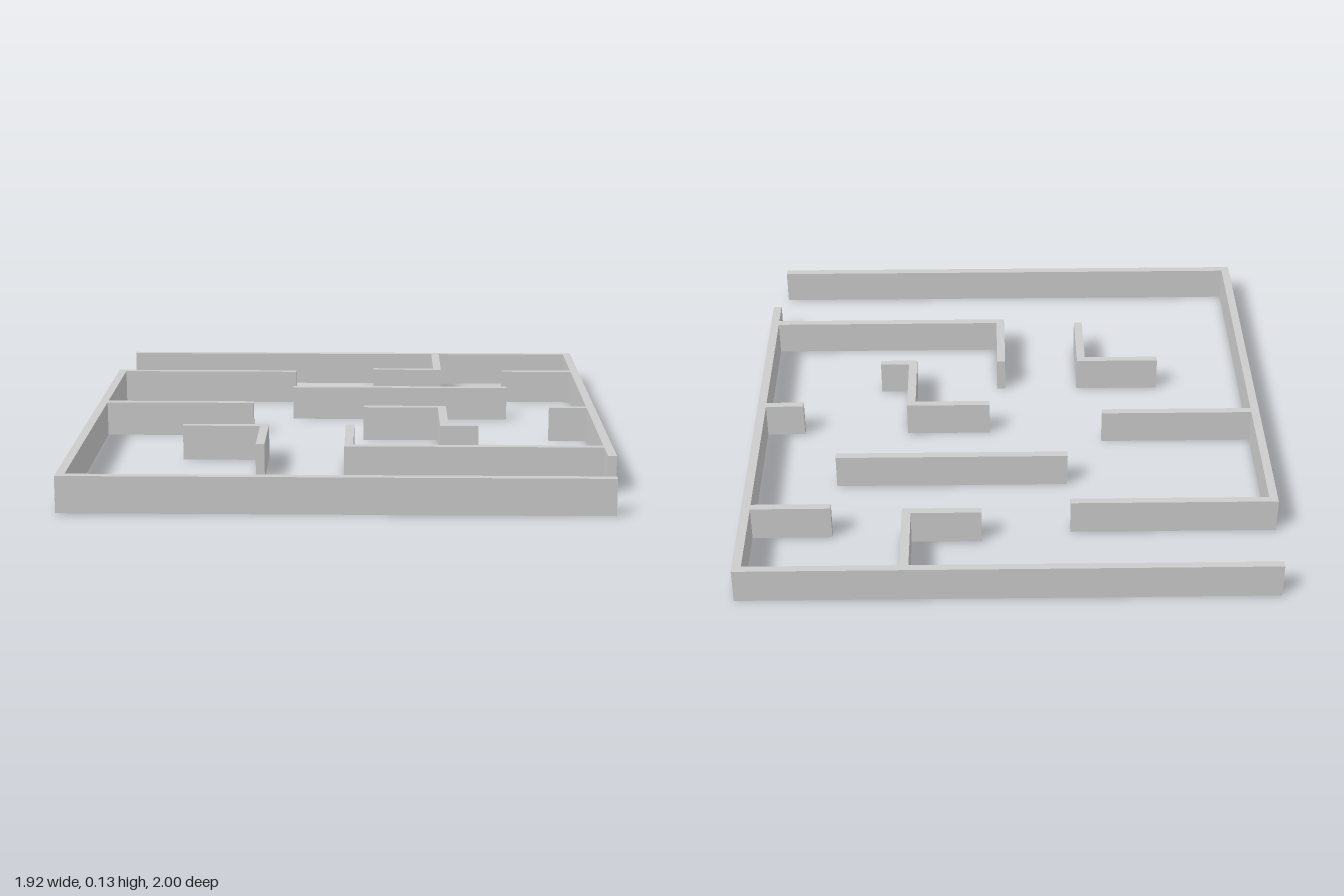
import * as THREE from 'three';

const HEIGHT = 0.13;

// Each wall: name, x from, x to, z from, z to (walls butt against each other)
const WALLS = [
  // outer walls, with an entrance at two corners
  ['backWall', -0.934, 0.926, -1, -0.973],
  ['leftOuterWall', 0.926, 0.958, -1, 0.706],
  ['rightOuterWall', -0.96, -0.929, -0.638, 1],
  ['frontWall', -0.929, 0.926, 0.97, 1],
  // branches off the outer walls
  ['rightBackBranch', -0.929, -0.217, -0.638, -0.611],
  ['rightMiddleBranch', -0.929, -0.36, -0.082, -0.055],
  ['leftBackBranch', 0.64, 0.926, -0.656, -0.629],
  ['leftMiddleBranch', 0.783, 0.926, -0.019, 0.008],
  ['backBranch', 0.354, 0.386, -0.973, -0.659],
  ['backBranchFoot', 0.103, 0.354, -0.686, -0.659],
  ['leftFrontBranch', 0.037, 0.926, 0.567, 0.595],
  ['leftFrontBranchEnd', 0.005, 0.037, 0.281, 0.595],
  // free-standing walls
  ['centreWall', -0.217, 0.64, -0.353, -0.325],
  ['zigzagTop', 0.069, 0.354, -0.019, 0.008],
  ['zigzagStem', 0.354, 0.386, -0.019, 0.294],
  ['zigzagFoot', 0.386, 0.497, 0.267, 0.294],
  ['cornerTop', -0.598, -0.312, 0.281, 0.308],
  ['cornerStem', -0.312, -0.28, 0.281, 0.566],
];

export function createModel() {
  const maze = new THREE.Group();
  maze.name = 'maze';
  const material = new THREE.MeshStandardMaterial({ color: 0xcccccc });
  for (const [name, x0, x1, z0, z1] of WALLS) {
    const wall = new THREE.Mesh(new THREE.BoxGeometry(x1 - x0, HEIGHT, z1 - z0), material);
    wall.name = name;
    wall.position.set((x0 + x1) / 2, HEIGHT / 2, (z0 + z1) / 2);
    maze.add(wall);
  }
  return maze;
}
